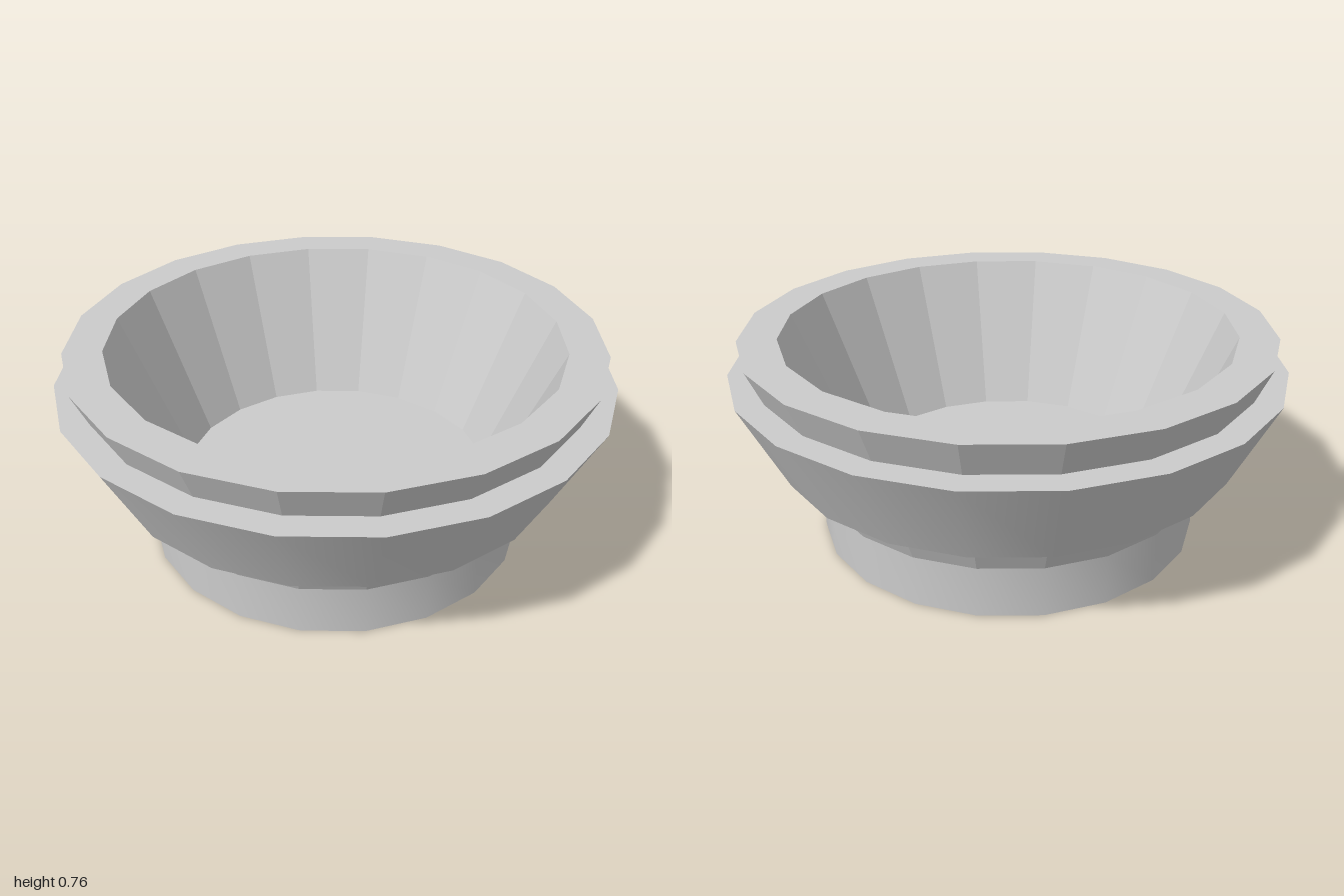
import * as THREE from 'three';
import { toCreasedNormals } from 'three/addons/utils/BufferGeometryUtils.js';

const SIDES = 20;

// Turns a profile of [radius, height] pairs; creaseDeg below 18 gives facets, above it smooth sides
function turned(name, profile, creaseDeg) {
  const points = profile.map(([r, y]) => new THREE.Vector2(r, y));
  const geometry = toCreasedNormals(
    new THREE.LatheGeometry(points, SIDES),
    THREE.MathUtils.degToRad(creaseDeg)
  );
  const material = new THREE.MeshStandardMaterial({ color: 0xcccccc });
  const mesh = new THREE.Mesh(geometry, material);
  mesh.name = name;
  return mesh;
}

export function createModel() {
  const model = new THREE.Group();
  model.name = 'bowl';

  // Smooth round foot
  model.add(turned('foot', [[0, 0], [0.705, 0], [0.705, 0.185], [0, 0.185]], 30));

  // Faceted flaring bowl: outer wall, flat rim, inner wall, floor
  model.add(turned('bowlBody', [
    [0.705, 0.185], [0.957, 0.76], [0.818, 0.76], [0.578, 0.2], [0, 0.2],
  ], 5));

  // Smooth raised band around the bowl, its inner face hidden in the bowl wall
  model.add(turned('outerBand', [
    [0.72, 0.317], [0.842, 0.317], [1, 0.637], [0.85, 0.637], [0.72, 0.317],
  ], 30));

  return model;
}
